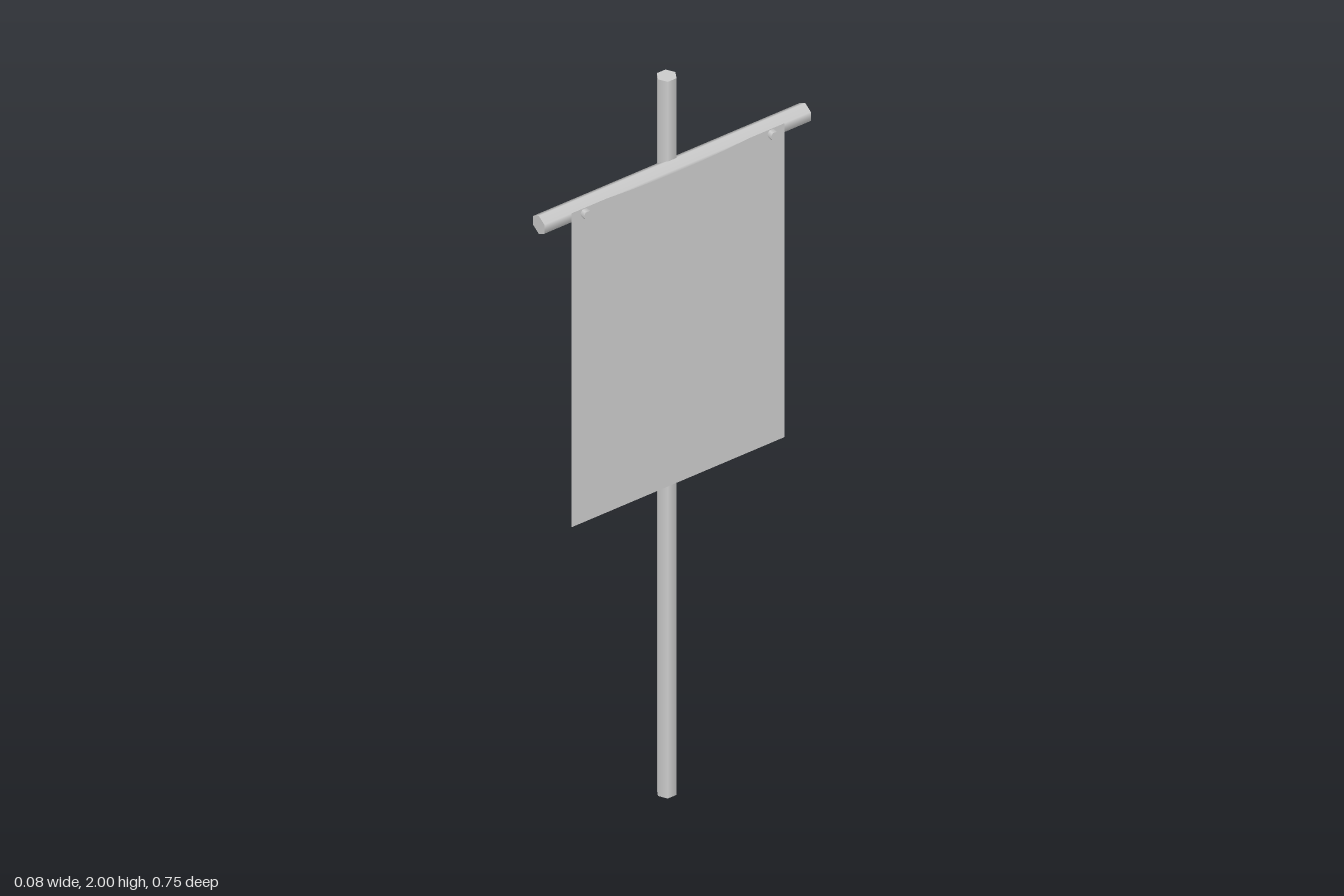
import * as THREE from 'three';

export function createModel() {
  const group = new THREE.Group();
  const grey = new THREE.MeshStandardMaterial({ color: 0xcccccc, side: THREE.DoubleSide });
  grey.name = 'plain grey';

  const add = (name, geometry, x, y, z) => {
    const mesh = new THREE.Mesh(geometry, grey);
    mesh.name = name;
    mesh.position.set(x, y, z);
    group.add(mesh);
    return mesh;
  };

  const barY = 1.753;

  // Upright six-sided pole
  add('pole', new THREE.CylinderGeometry(0.0245, 0.0245, 2, 6), -0.0185, 1, 0);

  // Crossbar, fixed to the pole's side
  add('crossbar', new THREE.CylinderGeometry(0.025, 0.025, 0.75, 6).rotateX(Math.PI / 2), 0.002, barY, 0);

  // Hanging cloth with a slightly sagging top edge; shape x runs along -z
  const cloth = new THREE.Shape();
  cloth.moveTo(-0.3, 0.89);
  cloth.lineTo(0.3, 0.89);
  cloth.lineTo(0.3, 1.766);
  cloth.lineTo(0.2, 1.766);
  cloth.quadraticCurveTo(0, 1.75, -0.2, 1.766);
  cloth.lineTo(-0.3, 1.766);
  cloth.closePath();
  add('cloth', new THREE.ShapeGeometry(cloth, 6).rotateY(Math.PI / 2), 0.0245, 0, 0);

  // Pegs pinning the cloth to the crossbar
  for (const side of [-1, 1]) {
    const peg = new THREE.CylinderGeometry(0.012, 0.012, 0.026, 6).rotateZ(-Math.PI / 2);
    add(side > 0 ? 'frontPeg' : 'backPeg', peg, 0.025, barY, side * 0.263);
  }

  return group;
}
